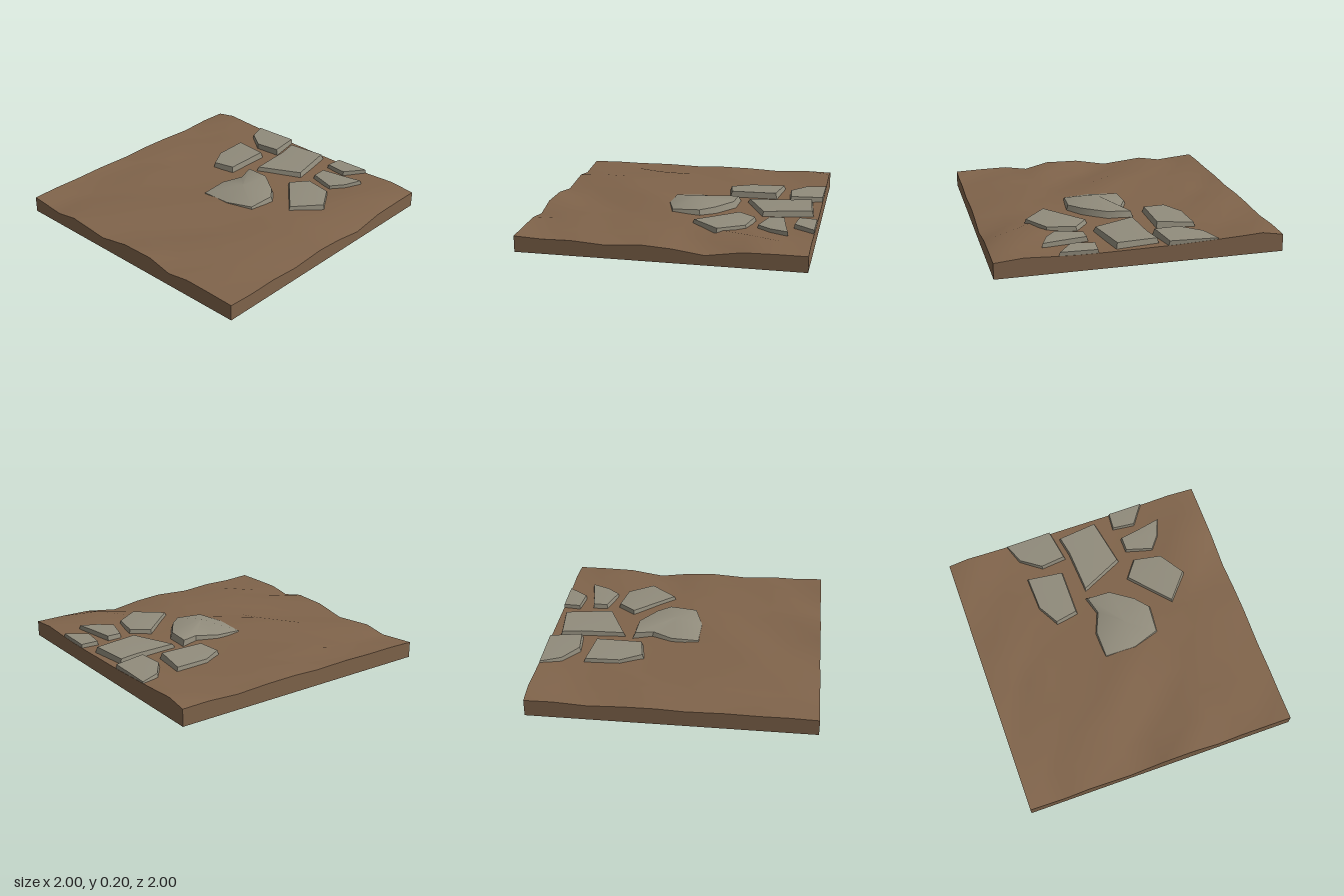
import * as THREE from 'three';
import { toCreasedNormals } from 'three/addons/utils/BufferGeometryUtils.js';

const soil = new THREE.MeshStandardMaterial({ color: 0x80644b, side: THREE.DoubleSide });
const rock = new THREE.MeshStandardMaterial({ color: 0x918c7c, side: THREE.DoubleSide });

// Terrain grid lines and heights (thousandths), rows from back to front
const XS = [-1, -0.85, -0.72, -0.55, -0.24, 0, 0.25, 0.43, 0.6, 0.8, 1];
const ZS = [-1, -0.8, -0.57, -0.32, -0.1, 0.1, 0.37, 0.6, 0.8, 1];
const HEIGHTS = [
  [122, 148, 140, 132, 120, 117, 114, 114, 120, 130, 112],
  [125, 132, 128, 118, 114, 112, 112, 112, 116, 134, 112],
  [112, 104, 108, 118, 114, 114, 114, 115, 128, 165, 108],
  [122, 130, 134, 120, 112, 117, 117, 122, 118, 108, 70],
  [124, 132, 122, 108, 116, 122, 125, 128, 124, 124, 100],
  [116, 118, 126, 132, 112, 136, 138, 132, 128, 132, 112],
  [122, 100, 132, 122, 138, 148, 104, 126, 126, 110, 95],
  [118, 116, 102, 128, 128, 100, 116, 124, 128, 128, 110],
  [120, 108, 104, 130, 110, 94, 130, 120, 126, 98, 106],
  [115, 102, 90, 118, 88, 133, 138, 95, 122, 120, 115],
];

// Stones: clockwise outline seen from above, mean top height, tilt in x and z, central rise
const STONES = [
  { name: 'largeStone', h: 0.15, tilt: [0.04, -0.05], rise: 0.052, centre: [0.1, -0.09],
    pts: [[-0.1, -0.39], [0.08, -0.38], [0.25, -0.26], [0.335, -0.16], [0.32, 0.05], [0.12, 0.115], [-0.12, 0.11], [-0.125, -0.1], [-0.06, -0.25]] },
  { name: 'middleStone', h: 0.15, tilt: [0.01, -0.02], rise: 0.004,
    pts: [[-0.13, -0.93], [0.17, -0.96], [0.24, -0.6], [-0.08, -0.45], [-0.1, -0.78]] },
  { name: 'leftStone', h: 0.15, tilt: [0.05, -0.01], rise: 0.003,
    pts: [[-0.47, -0.69], [-0.2, -0.65], [-0.2, -0.3], [-0.37, -0.27], [-0.46, -0.43]] },
  { name: 'backLeftStone', h: 0.15, tilt: [0.03, 0.02], rise: 0.003,
    pts: [[-0.54, -1], [-0.18, -1], [-0.14, -0.76], [-0.33, -0.74], [-0.48, -0.85]] },
  { name: 'backRightStone', h: 0.143, tilt: [0.02, 0.02], rise: 0.003,
    pts: [[0.3, -1], [0.57, -1], [0.46, -0.85], [0.29, -0.87]] },
  { name: 'smallStone', h: 0.146, tilt: [0, -0.02], rise: 0.004,
    pts: [[0.32, -0.77], [0.5, -0.8], [0.65, -0.83], [0.6, -0.7], [0.52, -0.6], [0.32, -0.66]] },
  { name: 'rightStone', h: 0.148, tilt: [0.01, 0.01], rise: 0.01,
    pts: [[0.35, -0.57], [0.56, -0.53], [0.68, -0.34], [0.51, -0.14], [0.25, -0.44]] },
];

function geometryFrom(positions, index) {
  const geo = new THREE.BufferGeometry();
  geo.setAttribute('position', new THREE.Float32BufferAttribute(positions.flat(), 3));
  geo.setIndex(index);
  return geo;
}

// Wall between two rings of n points stored one after the other
function bandIndex(n) {
  const index = [];
  for (let i = 0; i < n; i++) {
    const j = (i + 1) % n;
    index.push(i, j, n + j, i, n + j, n + i);
  }
  return index;
}

function mesh(name, geo, material) {
  const m = new THREE.Mesh(geo, material);
  m.name = name;
  return m;
}

function makeGround() {
  const group = new THREE.Group();
  group.name = 'ground';
  const cols = XS.length, rows = ZS.length;
  const point = (r, c) => [XS[c], HEIGHTS[r][c] / 1000, ZS[r]];

  // Uneven surface
  const positions = [], index = [];
  for (let r = 0; r < rows; r++) {
    for (let c = 0; c < cols; c++) {
      positions.push(point(r, c));
      if (r === rows - 1 || c === cols - 1) continue;
      const a = r * cols + c, d = a + cols;
      index.push(a, d, a + 1, a + 1, d, d + 1);
    }
  }
  const surface = geometryFrom(positions, index);
  surface.computeVertexNormals();
  group.add(mesh('soilSurface', surface, soil));

  // Straight side walls, open underneath
  const rim = [];
  for (let c = 0; c < cols - 1; c++) rim.push(point(0, c));
  for (let r = 0; r < rows - 1; r++) rim.push(point(r, cols - 1));
  for (let c = cols - 1; c > 0; c--) rim.push(point(rows - 1, c));
  for (let r = rows - 1; r > 0; r--) rim.push(point(r, 0));
  const base = rim.map(([x, , z]) => [x, 0, z]);
  const walls = geometryFrom([...rim, ...base], bandIndex(rim.length));
  group.add(mesh('soilWalls', toCreasedNormals(walls, 0.5), soil));
  return group;
}

// Slab with a tilted, slightly raised top and flared sides sunk into the soil
function makeStone({ name, h, tilt, rise, centre, pts }) {
  const n = pts.length;
  const mean = k => pts.reduce((sum, p) => sum + p[k], 0) / n;
  const [cx, cz] = centre ?? [mean(0), mean(1)];
  // Outline scaled about the centre; stones cut by the back edge stay just inside it
  const ring = (scale, height) => pts.map(([px, pz]) => {
    const x = cx + (px - cx) * scale;
    const z = pz === -1 ? -0.998 : Math.max(-0.998, cz + (pz - cz) * scale);
    return [x, height(x, z), z];
  });
  const top = ring(0.95, (x, z) => h + tilt[0] * (x - cx) + tilt[1] * (z - cz));
  const bottom = ring(1.09, () => 0.06);
  const index = bandIndex(n);
  for (let i = 0; i < n; i++) index.push(2 * n, (i + 1) % n, i);
  const geo = geometryFrom([...top, ...bottom, [cx, h + rise, cz]], index);
  return mesh(name, toCreasedNormals(geo, 0.6), rock);
}

export function createModel() {
  const model = new THREE.Group();
  model.name = 'stonePathTile';
  model.add(makeGround());
  for (const stone of STONES) model.add(makeStone(stone));
  return model;
}
